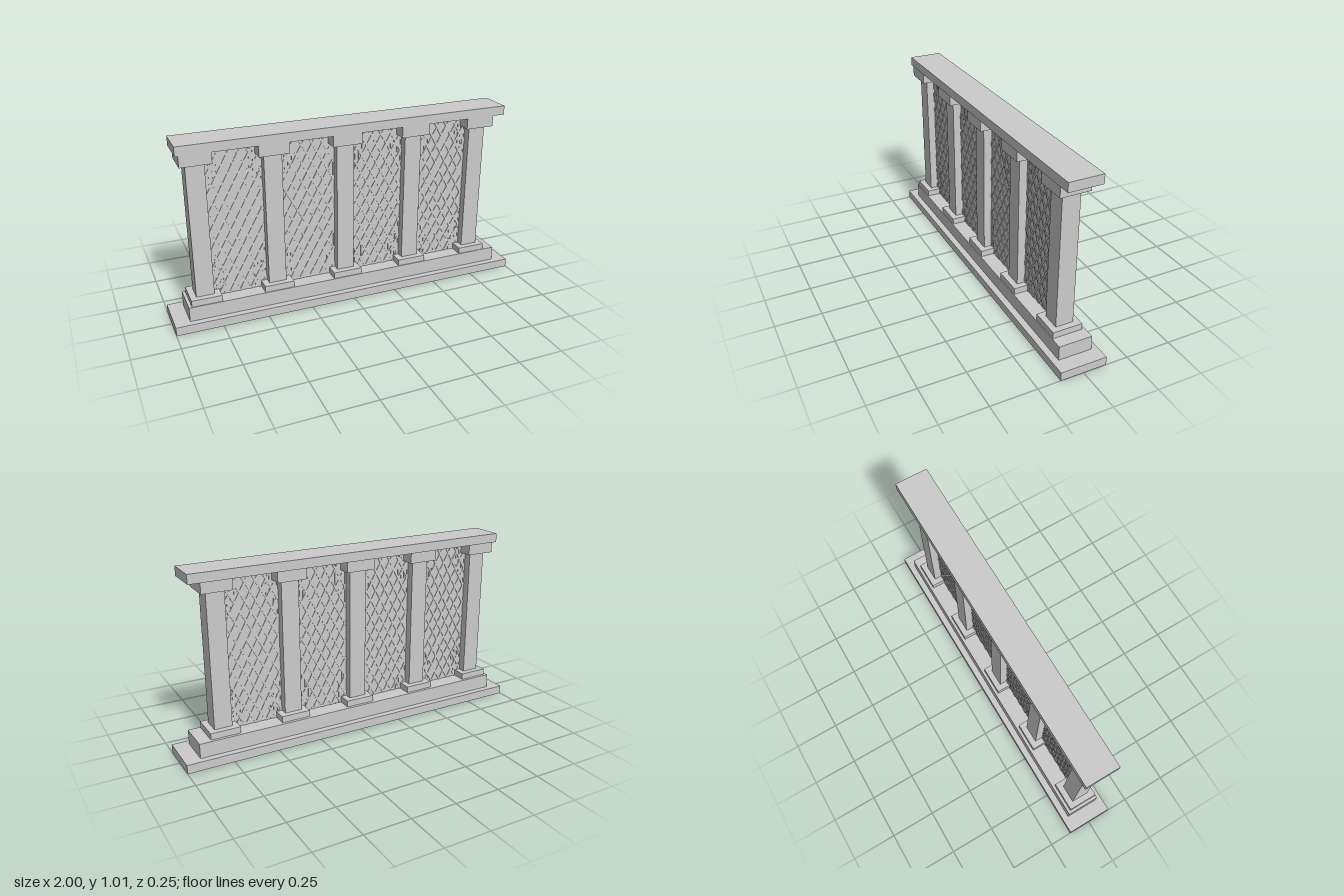
import * as THREE from 'three';

const material = new THREE.MeshStandardMaterial({ color: 0xcccccc, flatShading: true });

// Box given by its centre in x and z, and its bottom and top
function block(parent, name, x, z, y0, y1, width, depth) {
  const mesh = new THREE.Mesh(new THREE.BoxGeometry(width, y1 - y0, depth), material);
  mesh.name = name;
  mesh.position.set(x, (y0 + y1) / 2, z);
  parent.add(mesh);
  return mesh;
}

const Z = 0.006;          // centre line of the colonnade
const BOTTOM = 0.128;     // top of the plinth
const TOP = 0.957;        // underside of the top beam
const FIRST = -0.82;      // first column
const STEP = 0.3975;      // column spacing
const HALF = 0.15;        // half width of a lattice panel
const SLOPE = 1.8;        // steepness of the lattice bars
const BAR = 0.011, BAR_DEPTH = 0.014;

function createColumn(x) {
  const column = new THREE.Group();
  column.name = 'column';
  block(column, 'columnBase', x, Z, BOTTOM, 0.163, 0.163, 0.163);
  block(column, 'columnShaft', x, Z, 0.163, 0.896, 0.097, 0.097);
  block(column, 'columnCapital', x, Z, 0.896, TOP, 0.163, 0.163);
  return column;
}

function createLatticePanel(x) {
  const panel = new THREE.Group();
  panel.name = 'latticePanel';
  panel.position.x = x;
  block(panel, 'panelSheet', 0, Z, BOTTOM, TOP, 2 * HALF, 0.008);

  // Crossing diagonal bars, cut to the panel's rectangle
  const pitch = (TOP - BOTTOM) / 8;
  for (const dir of [-1, 1]) {
    for (let k = -2; k <= 10; k++) {
      const middle = BOTTOM + k * pitch;
      const y0 = Math.max(BOTTOM, middle - SLOPE * HALF);
      const y1 = Math.min(TOP, middle + SLOPE * HALF);
      if (y1 - y0 < 0.02) continue;
      const xa = (y0 - middle) / SLOPE, xb = (y1 - middle) / SLOPE;
      const length = Math.hypot(xb - xa, y1 - y0);
      const bar = new THREE.Mesh(new THREE.BoxGeometry(BAR, length, BAR_DEPTH), material);
      bar.name = 'latticeBar';
      bar.position.set(dir * (xa + xb) / 2, (y0 + y1) / 2, Z);
      bar.rotation.z = -dir * Math.atan2(1, SLOPE);
      panel.add(bar);
    }
  }

  // Short upright slats filling the four corners
  for (const side of [-1, 1]) {
    for (const dx of [0.085, 0.105, 0.125, 0.145]) {
      const length = SLOPE * dx;
      block(panel, 'cornerSlat', side * dx, Z, TOP - length, TOP, 0.005, 0.012);
      block(panel, 'cornerSlat', side * dx, Z, BOTTOM, BOTTOM + length, 0.005, 0.012);
    }
  }
  return panel;
}

export function createModel() {
  const model = new THREE.Group();
  model.name = 'balustrade';

  // Stepped foot and top beam
  block(model, 'foot', 0, 0, 0, 0.048, 2, 0.254);
  block(model, 'plinth', 0, 0, 0.048, BOTTOM, 1.836, 0.184);
  block(model, 'topBeam', 0, 0, TOP, 1.007, 1.836, 0.184);

  // Five columns with four lattice panels between them
  for (let i = 0; i < 5; i++) {
    model.add(createColumn(FIRST + i * STEP));
    if (i < 4) model.add(createLatticePanel(FIRST + (i + 0.5) * STEP));
  }
  return model;
}
